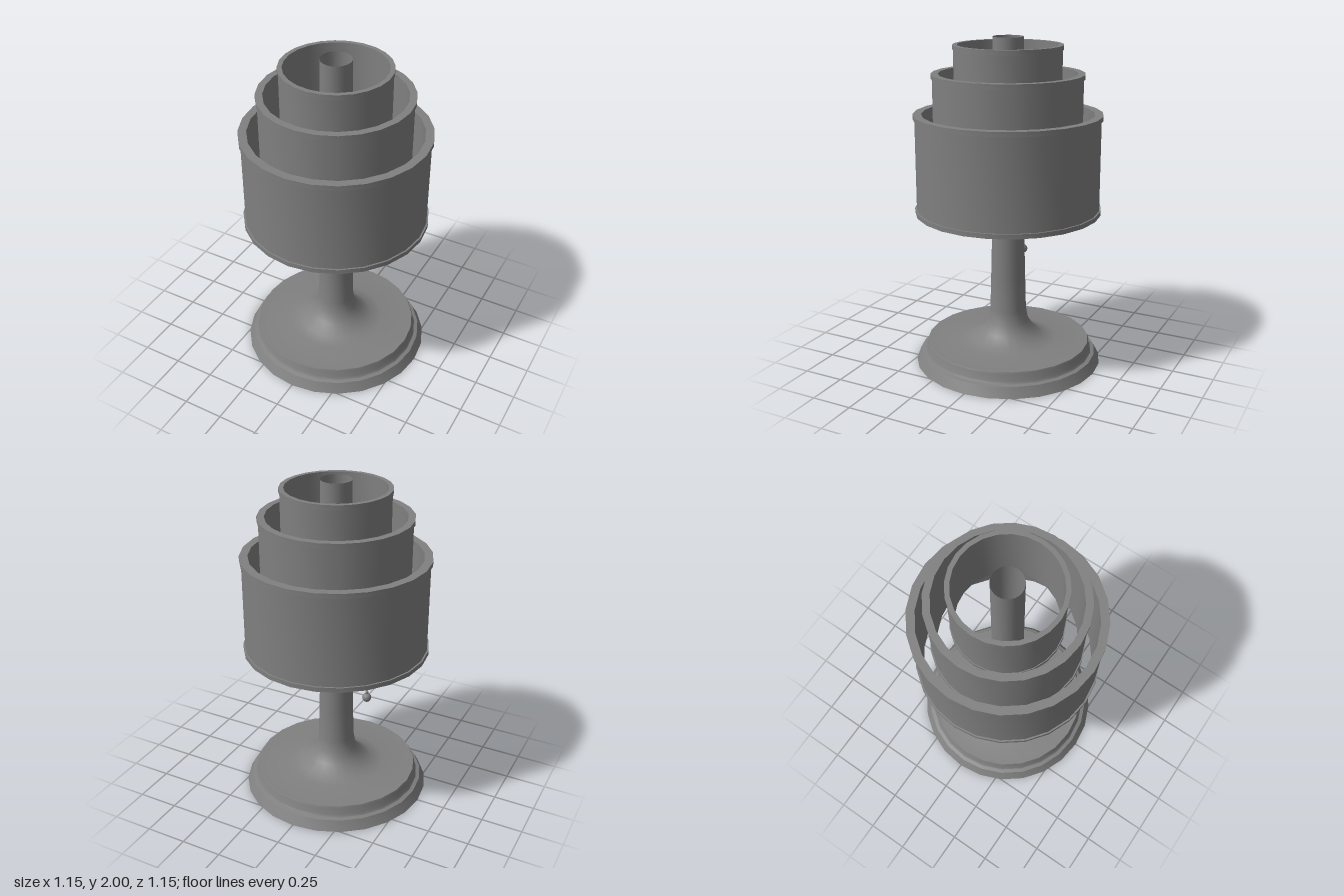
import * as THREE from 'three';
import { toCreasedNormals } from 'three/addons/utils/BufferGeometryUtils.js';

const SIDES = 24;
const grey = new THREE.MeshStandardMaterial({ color: 0x808080 });
const thinGrey = new THREE.MeshStandardMaterial({ color: 0x808080, side: THREE.DoubleSide });

function turned(name, profile, material) {
  const points = profile.map(([r, y]) => new THREE.Vector2(r, y));
  const geometry = toCreasedNormals(new THREE.LatheGeometry(points, SIDES), 0.65);
  const mesh = new THREE.Mesh(geometry, material);
  mesh.name = name;
  return mesh;
}

// Open drum with a thick wall and a raised band at each end
function shadeTier(name, outer, inner, bottom, top, lip) {
  const band = 0.028, wall = outer - lip;
  return turned(name, [
    [inner, bottom], [outer, bottom], [outer, bottom + band], [wall, bottom + band],
    [wall, top - band], [outer, top - band], [outer, top], [inner, top], [inner, bottom],
  ], grey);
}

function pullChain() {
  const group = new THREE.Group();
  group.name = 'pullChain';
  const bottom = 0.67, top = 1.15, spacing = 0.027;

  // Cord with beads
  const cord = new THREE.Mesh(new THREE.CylinderGeometry(0.004, 0.004, top - bottom, 6), grey);
  cord.name = 'cord';
  cord.position.y = (top + bottom) / 2;
  group.add(cord);
  const beadGeometry = new THREE.SphereGeometry(0.01, 10, 8);
  for (let y = bottom + 0.018; y < top; y += spacing) {
    const bead = new THREE.Mesh(beadGeometry, grey);
    bead.name = 'bead';
    bead.position.y = y;
    group.add(bead);
  }

  // Ball at the end
  const ball = new THREE.Mesh(new THREE.SphereGeometry(0.028, 16, 12), grey);
  ball.name = 'pullBall';
  ball.position.y = 0.652;
  group.add(ball);

  group.position.x = -0.21;
  return group;
}

export function createModel() {
  const model = new THREE.Group();
  model.name = 'tableLamp';

  // Hollow stepped foot flaring into an open tube
  model.add(turned('baseAndStem', [
    [0.575, 0], [0.543, 0.06], [0.52, 0.066], [0.511, 0.08], [0.506, 0.12], [0.5, 0.132],
    [0.3, 0.134], [0.23, 0.15], [0.165, 0.195], [0.125, 0.255], [0.111, 0.33],
    [0.105, 0.55], [0.095, 0.95], [0.091, 2],
  ], thinGrey));

  // Three nested shade drums
  model.add(shadeTier('lowerShade', 0.56, 0.51, 0.96, 1.555, 0.01));
  model.add(shadeTier('middleShade', 0.45, 0.408, 1.23, 1.79, 0.008));
  model.add(shadeTier('upperShade', 0.322, 0.295, 1.5, 1.955, 0.005));

  model.add(pullChain());
  return model;
}
